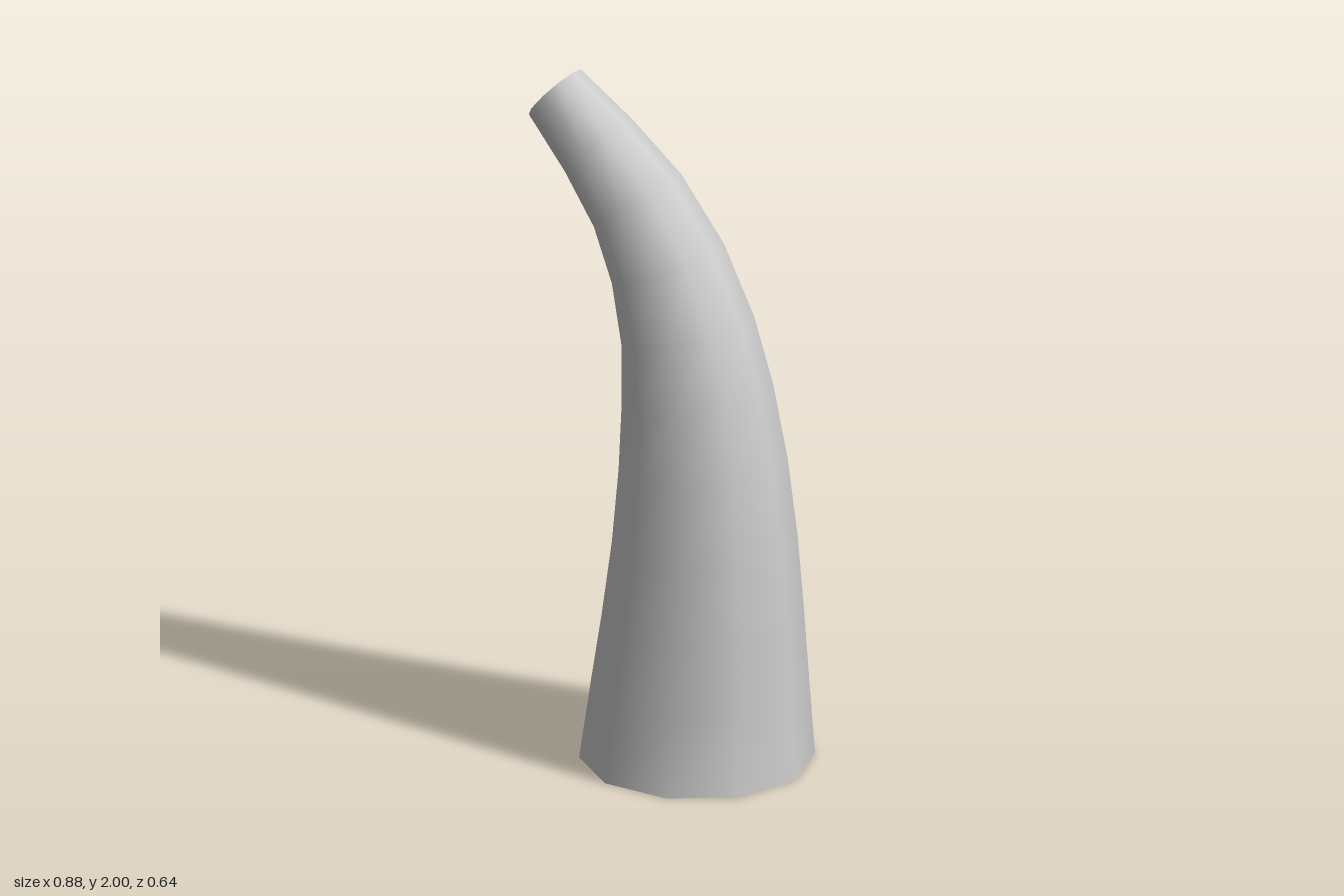
import * as THREE from 'three';

const SIDES = 10;

// Centre line of the horn: x, y and lean of each ring in degrees
const RINGS = [
  [0.104, 0, 0], [0.114, 0.22, -2], [0.124, 0.44, -1], [0.13, 0.67, 1], [0.124, 0.9, 4],
  [0.105, 1.11, 8], [0.0725, 1.295, 14], [0.005, 1.485, 24], [-0.0975, 1.655, 38],
  [-0.23, 1.795, 46], [-0.378, 1.925, 50],
];
const BASE_RADIUS = 0.335;
const TIP_RADIUS = 0.0975;

// Open tube of ten-sided rings with an even taper
function hornGeometry() {
  const positions = [];
  const indices = [];
  RINGS.forEach(([x, y, lean], i) => {
    const radius = THREE.MathUtils.lerp(BASE_RADIUS, TIP_RADIUS, i / (RINGS.length - 1));
    const tilt = THREE.MathUtils.degToRad(lean);
    for (let j = 0; j < SIDES; j++) {
      const a = (j / SIDES) * Math.PI * 2;
      const across = radius * Math.cos(a);
      positions.push(x + across * Math.cos(tilt), y + across * Math.sin(tilt), radius * Math.sin(a));
      if (i === RINGS.length - 1) continue;
      const p = i * SIDES + j;
      const q = i * SIDES + ((j + 1) % SIDES);
      indices.push(p, p + SIDES, q, q, p + SIDES, q + SIDES);
    }
  });
  const geometry = new THREE.BufferGeometry();
  geometry.setAttribute('position', new THREE.Float32BufferAttribute(positions, 3));
  geometry.setIndex(indices);
  geometry.computeVertexNormals();
  return geometry;
}

export function createModel() {
  const group = new THREE.Group();
  group.name = 'curvedHorn';
  const material = new THREE.MeshStandardMaterial({ color: 0xcccccc, side: THREE.DoubleSide });
  const horn = new THREE.Mesh(hornGeometry(), material);
  horn.name = 'hornShell';
  group.add(horn);
  return group;
}
